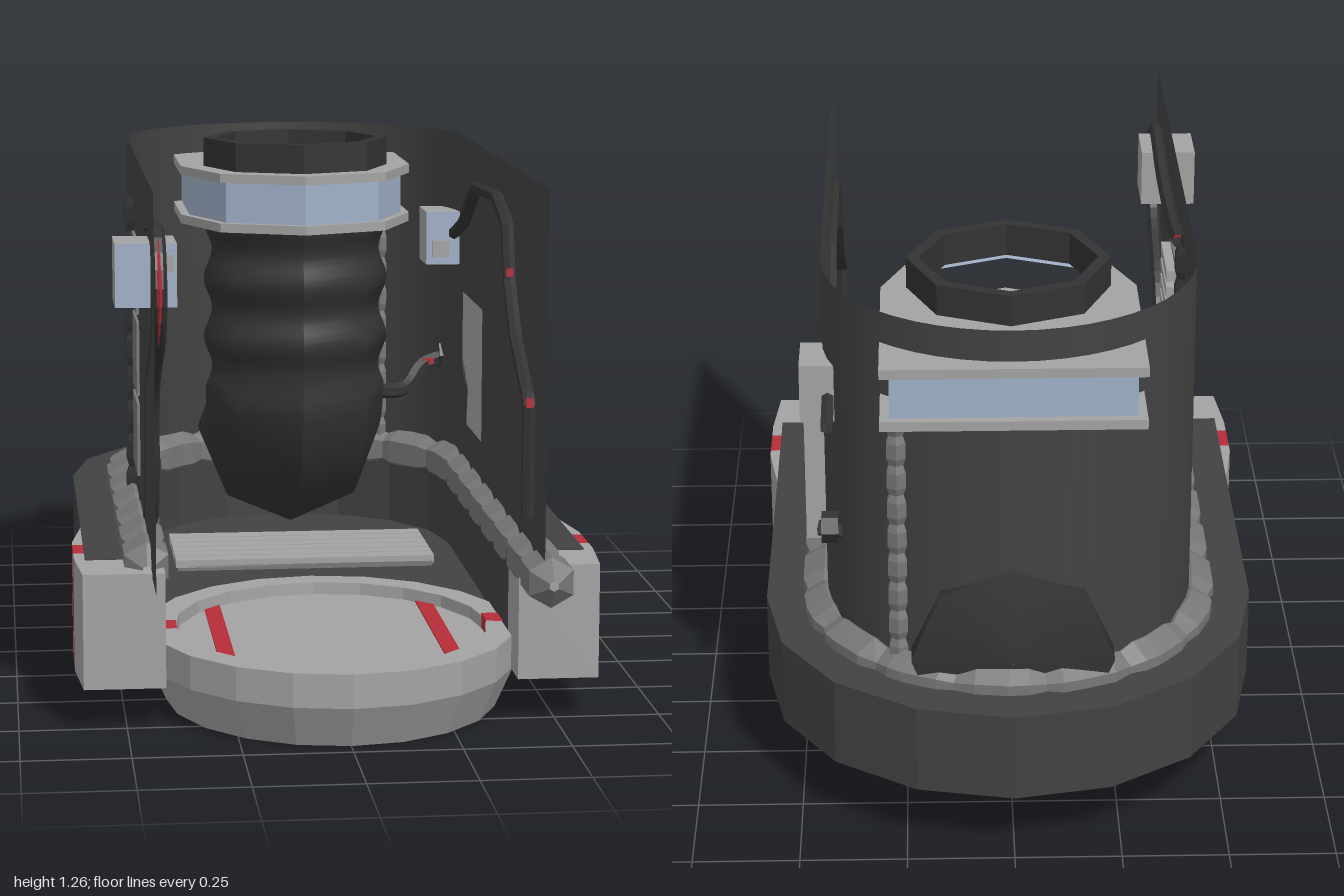
import * as THREE from 'three';

const mat = (name, color, side = THREE.FrontSide) => {
  const m = new THREE.MeshStandardMaterial({ color, side });
  m.name = name;
  return m;
};

export function createModel() {
  const light = mat('lightGrey', 0xa3a3a3);
  const mid = mat('hoseGrey', 0x777777);
  const dark = mat('darkGrey', 0x424242, THREE.DoubleSide);
  const black = mat('rubberBlack', 0x333333, THREE.DoubleSide);
  const blue = mat('steelBlue', 0xa0b0c8);
  const red = mat('red', 0xb52d38);
  const root = new THREE.Group();
  root.name = 'pod';

  const V = (x, y, z) => new THREE.Vector3(x, y, z);
  const add = (name, geo, material) => {
    const m = new THREE.Mesh(geo, material);
    m.name = name;
    root.add(m);
    return m;
  };
  const flat = (g) => {
    const n = g.index ? g.toNonIndexed() : g;
    n.computeVertexNormals();
    return n;
  };
  // box given by its ranges
  const box = (name, x0, x1, y0, y1, z0, z1, material) => {
    const m = add(name, new THREE.BoxGeometry(x1 - x0, y1 - y0, z1 - z0), material);
    m.position.set((x0 + x1) / 2, (y0 + y1) / 2, (z0 + z1) / 2);
    return m;
  };
  // upright prism from plan points [x, z], with an optional hole
  const prism = (name, pts, y0, y1, material, hole) => {
    const to2 = (list) => list.map(([x, z]) => new THREE.Vector2(x, -z));
    const s = new THREE.Shape(to2(pts));
    if (hole) s.holes.push(new THREE.Path(to2(hole)));
    const g = new THREE.ExtrudeGeometry(s, { depth: y1 - y0, bevelEnabled: false });
    g.rotateX(-Math.PI / 2).translate(0, y0, 0);
    return add(name, g, material);
  };
  const arc = (rx, rz, cz, a0, a1, n) => Array.from({ length: n + 1 }, (_, i) => {
    const a = a0 + (a1 - a0) * i / n;
    return [rx * Math.cos(a), cz + rz * Math.sin(a)];
  });
  // tube whose radius follows a rule of the ring number
  const tube = (name, curve, segs, sides, radius, material, faceted = true) => {
    const g = new THREE.TubeGeometry(curve, segs, 1, sides, false);
    const p = g.attributes.position, n = g.attributes.normal;
    for (let k = 0; k < p.count; k++) {
      const i = Math.floor(k / (sides + 1)), d = radius(i) - 1;
      p.setXYZ(k, p.getX(k) + n.getX(k) * d, p.getY(k) + n.getY(k) * d, p.getZ(k) + n.getZ(k) * d);
    }
    g.computeVertexNormals();
    return add(name, faceted ? flat(g) : g, material);
  };
  const polyline = (pts) => {
    const c = new THREE.CurvePath();
    for (let i = 1; i < pts.length; i++) c.add(new THREE.LineCurve3(pts[i - 1], pts[i]));
    return c;
  };
  const smooth = (pts) => new THREE.CatmullRomCurve3(pts, false, 'centripetal');

  // hull: floor with a scooped front, and a raised U-shaped rim
  const PI = Math.PI;
  const outer = arc(0.59, 0.6, -0.4, PI, 2 * PI, 8);
  const inner = arc(0.41, 0.42, -0.4, 2 * PI, PI, 8);
  prism('hullFloor', [[-0.59, 0.62], ...outer, [0.59, 0.62], [0.405, 0.62],
    ...arc(0.42, 0.47, 0.5, 0, -PI, 12), [-0.405, 0.62]], 0.16, 0.172, dark);
  prism('hullRim', [[-0.59, 0.62], ...outer, [0.59, 0.62], [0.41, 0.62], ...inner, [-0.41, 0.62]],
    0.165, 0.374, dark);

  // thin wall following the same U
  const wallPath = [[-0.44, 0.95], ...arc(0.44, 0.44, -0.4, PI, 2 * PI, 24), [0.44, 0.95]];
  const wp = [], wi = [];
  wallPath.forEach(([x, z], i) => {
    wp.push(x, 0.36, z, x, 1.265, z);
    if (i) wi.push(2 * i - 2, 2 * i - 1, 2 * i, 2 * i, 2 * i - 1, 2 * i + 1);
  });
  const wall = new THREE.BufferGeometry();
  wall.setAttribute('position', new THREE.Float32BufferAttribute(wp, 3));
  wall.setIndex(wi);
  wall.computeVertexNormals();
  add('wall', wall, dark);

  // front pad: oval rim with a recessed disc
  const rimProfile = [[0.84, 0.08], [0.86, 0], [0.9, 0], [1, 0.1], [1, 0.18], [0.85, 0.18], [0.84, 0.08]]
    .map(([r, y]) => new THREE.Vector2(r, y));
  const place = (m) => { m.scale.set(0.44, 1, 0.5); m.position.z = 0.5; return m; };
  place(add('padRim', flat(new THREE.LatheGeometry(rimProfile, 20)), light));
  const bandProfile = rimProfile.map((p) => new THREE.Vector2(
    p.x + (p.x > 0.88 ? 0.006 : -0.006), p.y + (p.y > 0.15 ? 0.004 : p.y < 0.05 ? -0.0 : 0)));
  for (const s of [1, -1]) {
    place(add('padRimBand', flat(new THREE.LatheGeometry(bandProfile, 2, s * PI / 2 - 0.094, 0.188)), red));
  }
  const disc = place(add('padDisc', flat(new THREE.CylinderGeometry(0.85, 0.85, 0.07, 20)), light));
  disc.position.y = 0.115;
  for (const s of [1, -1]) {
    box('discStripe', s * 0.265 - 0.02, s * 0.265 + 0.02, 0.148, 0.154, 0.18, 0.82, red);
    box('discStripeUnder', s * 0.265 - 0.02, s * 0.265 + 0.02, 0.076, 0.082, 0.18, 0.82, red);
    box('discPlateUnder', -0.13, 0.13, 0.06, 0.08, 0.5 + s * 0.21 - 0.11, 0.5 + s * 0.21 + 0.11, mid);
  }

  // side arms, each with a red band
  for (const s of [1, -1]) {
    const arm = (name, pts, m) => prism(name, pts.map(([x, z]) => [s * x, z]), 0.1, 0.371, m);
    arm('armRear', [[0.41, 0.22], [0.585, 0.22], [0.615, 0.42], [0.615, 0.45], [0.41, 0.45]], light);
    arm('armBand', [[0.41, 0.45], [0.615, 0.45], [0.615, 0.545], [0.41, 0.545]], red);
    arm('armFront', [[0.41, 0.545], [0.615, 0.545], [0.615, 0.6], [0.6, 0.775], [0.41, 0.775]], light);
  }

  // grating under the column
  box('gratingBase', -0.33, 0.33, 0.112, 0.185, -0.45, -0.12, mid);
  for (let i = 0; i < 6; i++) box('gratingSlat', -0.335, 0.335, 0.18, 0.2, -0.45 + i * 0.056, -0.4 + i * 0.056, light);

  // ribbed hose around the foot of the wall
  const hosePts = [[-0.45, 0.74], ...arc(0.45, 0.45, -0.4, PI, 2 * PI, 12), [0.455, 0.99]]
    .map(([x, z]) => V(x, 0.37, z));
  tube('footHose', polyline(hosePts), 100, 6,
    (i) => (i === 0 || i === 100 ? 0.012 : i % 5 === 0 ? 0.046 : 0.059), mid);

  // narrow upright hoses set in the wall
  const upright = (x, z, y0, y1, m) => tube('uprightHose', new THREE.LineCurve3(V(x, y0, z), V(x, y1, z)),
    36, 6, (i) => (i % 4 === 0 ? 0.019 : 0.026), m);
  upright(0.265, -0.752, 0.38, 1.05, mid);
  upright(-0.44, -0.05, 0.38, 1.15, black);

  // flexible column bending out through the back
  const column = new THREE.CurvePath();
  column.add(new THREE.LineCurve3(V(0, 1.05, -0.4), V(0, 0.68, -0.4)));
  column.add(new THREE.CubicBezierCurve3(V(0, 0.68, -0.4), V(0, 0.52, -0.4), V(0, 0.44, -0.5), V(0, 0.435, -0.66)));
  column.add(new THREE.LineCurve3(V(0, 0.435, -0.66), V(0, 0.435, -0.86)));
  tube('column', column, 60, 8, (i) => (i === 60 ? 0.001 : i < 27 ? 0.231 + 0.011 * Math.cos(i * 0.66) : 0.236), black, false);

  // collar bracket: two plates with a web between
  const bracket = (e) => [[-0.3 + e, -0.88 + e], [0.3 - e, -0.88 + e], ...arc(0.3 - e, 0.3 - e, -0.4, 0, PI, 4)];
  const hole = arc(0.21, 0.21, -0.4, 0, 2 * PI, 8).slice(0, 8);
  prism('bracketLowerPlate', bracket(0), 1.04, 1.063, light, hole);
  prism('bracketWeb', bracket(0.022), 1.063, 1.167, blue, arc(0.235, 0.235, -0.4, 0, 2 * PI, 8).slice(0, 8));
  prism('bracketUpperPlate', bracket(0), 1.167, 1.19, light, hole);
  prism('collar', arc(0.24, 0.24, -0.4, 0, 2 * PI, 8).slice(0, 8), 1.185, 1.264, black, hole);

  // wall boxes with a blue front
  const faces = [light, light, light, light, blue, light];
  box('wallBoxLeft', 0.35, 0.49, 0.92, 1.06, -0.56, -0.42, faces);
  box('wallBoxLeftTab', 0.365, 0.41, 0.94, 0.985, -0.42, -0.412, light);
  box('wallBoxRight', -0.52, -0.38, 0.99, 1.135, 0.65, 0.8, faces);
  box('wallBoxRightTab', -0.41, -0.387, 1.07, 1.11, 0.8, 0.808, light);

  // panels on the walls
  box('sidePanel', 0.44, 0.49, 0.515, 0.855, -0.36, -0.02, light);
  for (let k = 0; k < 3; k++) {
    const y = 0.49 + k * 0.2;
    box('ventPlate', -0.447, -0.425, y, y + 0.18, 0, 0.22, mid);
    for (let j = 0; j < 4; j++) box('ventSlat', -0.427, -0.402, y + 0.01 + j * 0.043, y + 0.038 + j * 0.043, 0.01, 0.21, light);
  }

  // cables along the inner faces
  const leftCable = [[0.8, 0.49], [0.8, 0.76], [0.6, 0.88], [0.5, 1.0], [0.46, 1.13], [0.3, 1.178],
    [-0.04, 1.165], [-0.25, 1.05], [-0.45, 0.995], [-0.68, 0.958]].map(([z, y]) => V(0.424, y, z));
  tube('leftCable', polyline(leftCable), 60, 6, () => 0.016, black);
  for (const [y, z] of [[0.76, 0.8], [1.02, 0.494]]) box('cableMark', 0.415, 0.432, y - 0.01, y + 0.01, z + 0.011, z + 0.02, red);
  const rightPts = [[-0.06, 1.165], [0.12, 1.14], [0.47, 1.13], [0.8, 1.15], [0.875, 1.04], [0.82, 0.93],
    [0.52, 0.75], [0.47, 0.52], [0.4, 0.42], [-0.06, 0.38]];
  tube('rightCable', smooth(rightPts.map(([z, y]) => V(-0.424, y, z))), 60, 6, () => 0.018, black);
  tube('rightCableStripe', smooth(rightPts.map(([z, y]) => V(-0.424, y, z + 0.013))), 60, 4, () => 0.008, red);

  // feed pipe from the column through the wall
  tube('feedPipe', smooth([V(0.2, 0.58, -0.45), V(0.3, 0.575, -0.5), V(0.36, 0.63, -0.56), V(0.45, 0.655, -0.58)]),
    16, 6, () => 0.02, black);
  const knob = add('feedKnob', flat(new THREE.CylinderGeometry(0.038, 0.038, 0.04, 6)), black);
  knob.rotation.z = PI / 2;
  knob.position.set(0.425, 0.655, -0.58);
  box('feedMark', 0.36, 0.39, 0.632, 0.648, -0.556, -0.547, red);

  return root;
}
